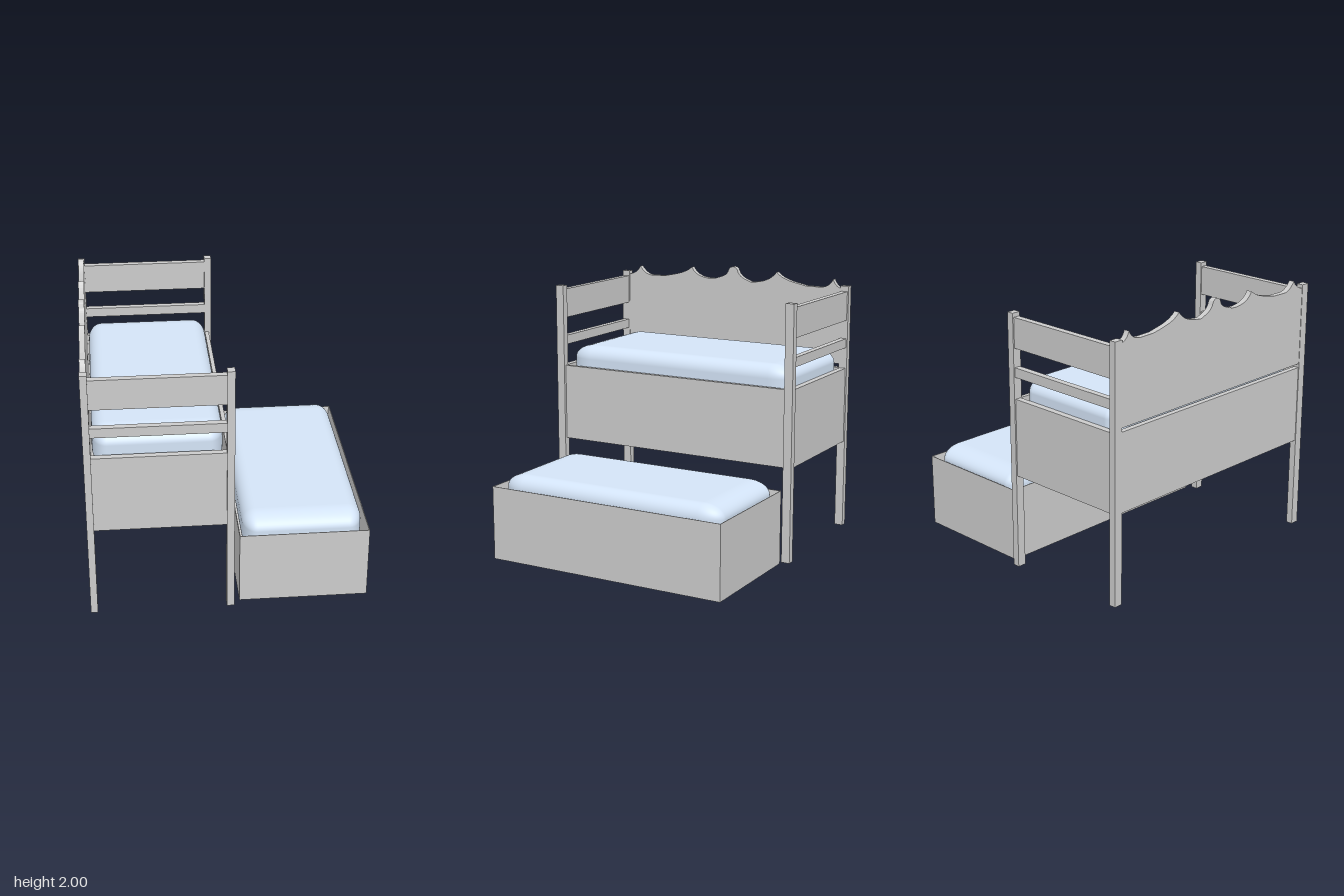
import * as THREE from 'three';
import { RoundedBoxGeometry } from 'three/addons/geometries/RoundedBoxGeometry.js';

const wood = new THREE.MeshStandardMaterial({ color: 0xcccccc });
const fabric = new THREE.MeshStandardMaterial({ color: 0xd4e4f7 });

function add(parent, name, geometry, material = wood) {
  const mesh = new THREE.Mesh(geometry, material);
  mesh.name = name;
  parent.add(mesh);
  return mesh;
}

// Box given by its limits on each axis
function block(parent, name, [x0, x1], [y0, y1], [z0, z1]) {
  const g = new THREE.BoxGeometry(x1 - x0, y1 - y0, z1 - z0);
  g.translate((x0 + x1) / 2, (y0 + y1) / 2, (z0 + z1) / 2);
  return add(parent, name, g);
}

// Soft block whose rounding is longer along z
function mattress(parent, name, [x0, x1], [y0, y1], [z0, z1]) {
  const stretch = 1.7;
  const g = new RoundedBoxGeometry(x1 - x0, y1 - y0, (z1 - z0) / stretch, 6, 0.1);
  g.scale(1, 1, stretch);
  g.translate((x0 + x1) / 2, (y0 + y1) / 2, (z0 + z1) / 2);
  return add(parent, name, g, fabric);
}

// Long back board with a scalloped, peaked top edge
function scallopedBoard() {
  const s = new THREE.Shape();
  s.moveTo(-0.935, 1.31);
  s.lineTo(0.935, 1.31);
  s.lineTo(0.935, 1.885);
  s.quadraticCurveTo(0.86, 1.90, 0.835, 1.955);
  s.bezierCurveTo(0.79, 1.90, 0.76, 1.888, 0.72, 1.888);
  s.lineTo(0.61, 1.89);
  s.bezierCurveTo(0.52, 1.91, 0.42, 1.92, 0.355, 1.975);
  s.bezierCurveTo(0.32, 1.91, 0.25, 1.90, 0.2, 1.895);
  s.lineTo(0.15, 1.897);
  s.bezierCurveTo(0.09, 1.92, 0.04, 1.92, 0.025, 1.97);
  s.bezierCurveTo(0.015, 2.01, -0.045, 2.01, -0.055, 1.97);
  s.bezierCurveTo(-0.07, 1.92, -0.12, 1.91, -0.17, 1.888);
  s.lineTo(-0.21, 1.892);
  s.bezierCurveTo(-0.28, 1.90, -0.35, 1.92, -0.395, 1.98);
  s.bezierCurveTo(-0.45, 1.92, -0.55, 1.91, -0.64, 1.89);
  s.lineTo(-0.76, 1.888);
  s.bezierCurveTo(-0.81, 1.89, -0.85, 1.91, -0.87, 1.955);
  s.quadraticCurveTo(-0.89, 1.90, -0.935, 1.89);
  const g = new THREE.ExtrudeGeometry(s, { depth: 0.042, bevelEnabled: false, curveSegments: 8 });
  g.rotateY(-Math.PI / 2);
  g.translate(-0.955, 0, 0);
  return g;
}

// Closed skin through rectangular rings [x0, x1, z0, z1, y]
function ringLoft(rings) {
  const pos = [];
  const corners = ([x0, x1, z0, z1, y]) => [[x0, y, z1], [x1, y, z1], [x1, y, z0], [x0, y, z0]];
  for (let i = 0; i < rings.length - 1; i++) {
    const a = corners(rings[i]), b = corners(rings[i + 1]);
    for (let k = 0; k < 4; k++) {
      const n = (k + 1) % 4;
      pos.push(...a[k], ...a[n], ...b[n], ...a[k], ...b[n], ...b[k]);
    }
  }
  const g = new THREE.BufferGeometry();
  g.setAttribute('position', new THREE.Float32BufferAttribute(pos, 3));
  g.computeVertexNormals();
  return g;
}

export function createModel() {
  const model = new THREE.Group();
  model.name = 'loftBedWithDrawerBed';

  // Raised bed: posts and end boards, front and back
  const bed = new THREE.Group();
  bed.name = 'raisedBed';
  model.add(bed);
  for (const side of [1, -1]) {
    const end = side > 0 ? 'front' : 'back';
    const span = (a, b) => (side > 0 ? [a, b] : [-b, -a]);
    block(bed, end + 'RightPost', [-1, -0.95], [side > 0 ? 0.02 : 0.03, 1.91], span(0.935, 1));
    block(bed, end + 'LeftPost', [-0.028, 0.025], [side > 0 ? 0.02 : 0, 1.9], span(0.935, 1));
    for (const [name, y0, y1] of [['Panel', 0.705, 1.28], ['Rail', 1.44, 1.51], ['TopBoard', 1.65, 1.87]]) {
      block(bed, end + name, [-0.95, -0.028], [y0, y1], span(0.943, 0.99));
    }
  }

  // Long sides, base and scalloped board
  block(bed, 'leftSidePanel', [-0.026, 0.004], [0.705, 1.28], [-0.935, 0.935]);
  block(bed, 'rightSidePanel', [-0.995, -0.955], [0.705, 1.28], [-0.935, 0.935]);
  block(bed, 'bedBase', [-0.955, -0.026], [0.705, 0.735], [-0.943, 0.943]);
  add(bed, 'scallopedBackBoard', scallopedBoard());
  mattress(bed, 'upperMattress', [-0.94, -0.04], [1.13, 1.435], [-0.94, 0.92]);

  // Drawer bed: open box whose inner walls taper to the floor
  const drawer = new THREE.Group();
  drawer.name = 'drawerBed';
  model.add(drawer);
  add(drawer, 'drawerBox', ringLoft([
    [0.535, 0.535, 0, 0, 0.005],
    [0.07, 1, -0.945, 0.92, 0.005],
    [0.07, 1, -0.945, 0.92, 0.553],
    [0.075, 0.995, -0.94, 0.915, 0.553],
    [0.105, 0.97, -0.905, 0.875, 0.33],
    [0.535, 0.535, 0, 0, 0.33],
  ]));
  mattress(drawer, 'lowerMattress', [0.105, 0.965], [0.335, 0.645], [-0.915, 0.865]);

  return model;
}
